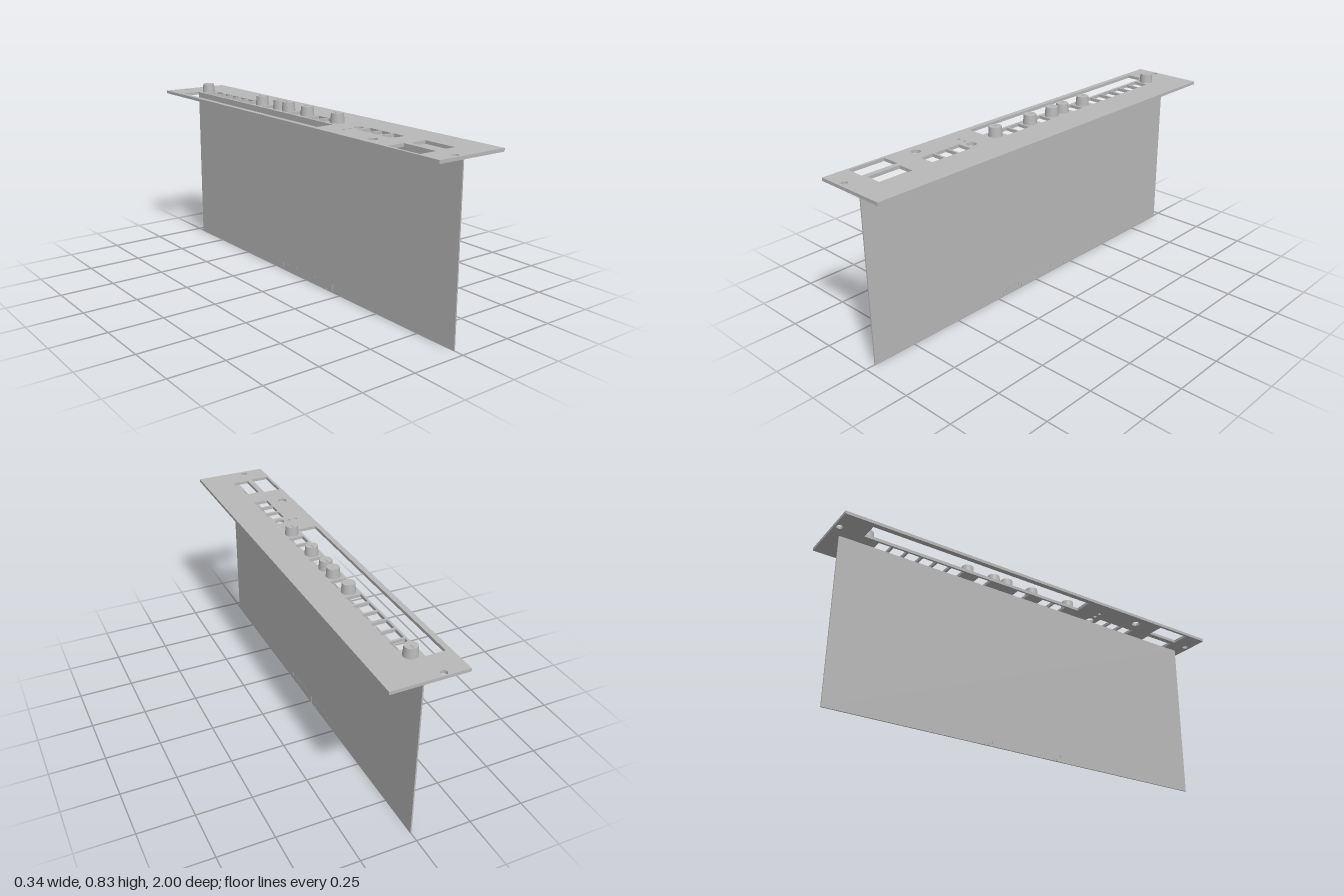
import * as THREE from 'three';

export function createModel() {
  const model = new THREE.Group();
  const grey = new THREE.MeshStandardMaterial({ color: 0xb8b8b8 });
  grey.name = 'plain grey';

  const add = (name, geometry, x = 0, y = 0, z = 0, parent = model) => {
    const mesh = new THREE.Mesh(geometry, grey);
    mesh.name = name;
    mesh.position.set(x, y, z);
    parent.add(mesh);
    return mesh;
  };

  // Rectangle between x0..x1 and z0..z1, drawn in the shape plane (shape y = -z)
  const rect = (Type, x0, x1, z0, z1) => new Type([
    new THREE.Vector2(x0, -z1), new THREE.Vector2(x1, -z1),
    new THREE.Vector2(x1, -z0), new THREE.Vector2(x0, -z0),
  ]);

  // Face plate with all of its cut-outs
  const bottom = 0.772, top = 0.786;
  const plate = rect(THREE.Shape, -0.1675, 0.1675, -1, 1);
  const cut = (...r) => plate.holes.push(rect(THREE.Path, ...r));
  const drill = (x, z, r) => plate.holes.push(new THREE.Path().absarc(x, -z, r, 0, Math.PI * 2, true));

  cut(-0.143, -0.058, -0.865, 0.262); // long slot
  cut(-0.155, -0.073, 0.715, 0.888);  // connector windows
  cut(-0.048, 0.03, 0.725, 0.88);
  drill(-0.064, -0.98, 0.014);        // mounting screws
  drill(-0.064, 0.973, 0.014);
  drill(-0.115, 0.585, 0.02);         // sockets and lamps
  drill(-0.012, 0.374, 0.021);
  drill(-0.092, 0.372, 0.008);
  drill(-0.058, 0.372, 0.008);

  // Control column: knobs and square button openings on one pitch
  const controlX = -0.0125, pitch = 0.0713, firstZ = -0.835;
  const knobSlots = [0, 7, 9, 10, 12, 15];
  const buttonHole = (z) => cut(-0.048, 0.021, z - 0.031, z + 0.031);
  for (let i = 0; i < 16; i++) {
    const z = firstZ + i * pitch;
    if (!knobSlots.includes(i)) {
      buttonHole(z);
      continue;
    }
    const knob = new THREE.Group();
    knob.name = 'knob';
    knob.position.set(controlX, top, z);
    model.add(knob);
    add('knobBody', new THREE.CylinderGeometry(0.0275, 0.031, 0.042, 32), 0, 0.021, 0, knob);
    add('knobPointer', new THREE.BoxGeometry(0.005, 0.002, 0.024), 0, 0.0425, -0.013, knob);
  }
  [0.443, 0.514, 0.586].forEach(buttonHole);

  const plateGeometry = new THREE.ExtrudeGeometry(plate, {
    depth: top - bottom, bevelEnabled: false, curveSegments: 16,
  });
  plateGeometry.rotateX(-Math.PI / 2);
  add('facePlate', plateGeometry, 0, bottom, 0);

  // Upright circuit board and the flange joining it to the plate
  add('board', new THREE.BoxGeometry(0.006, bottom, 1.91), 0, bottom / 2, 0);
  add('flange', new THREE.BoxGeometry(0.057, 0.008, 1.86), 0.0295, 0.767, 0.02);

  // Edge contacts along the bottom of the board
  const contactGeometry = new THREE.BoxGeometry(0.0068, 0.036, 0.014);
  for (let i = 0; i < 22; i++) {
    add('edgeContact', contactGeometry, 0, 0.018, (i - 10.5) * 0.02);
  }

  return model;
}
